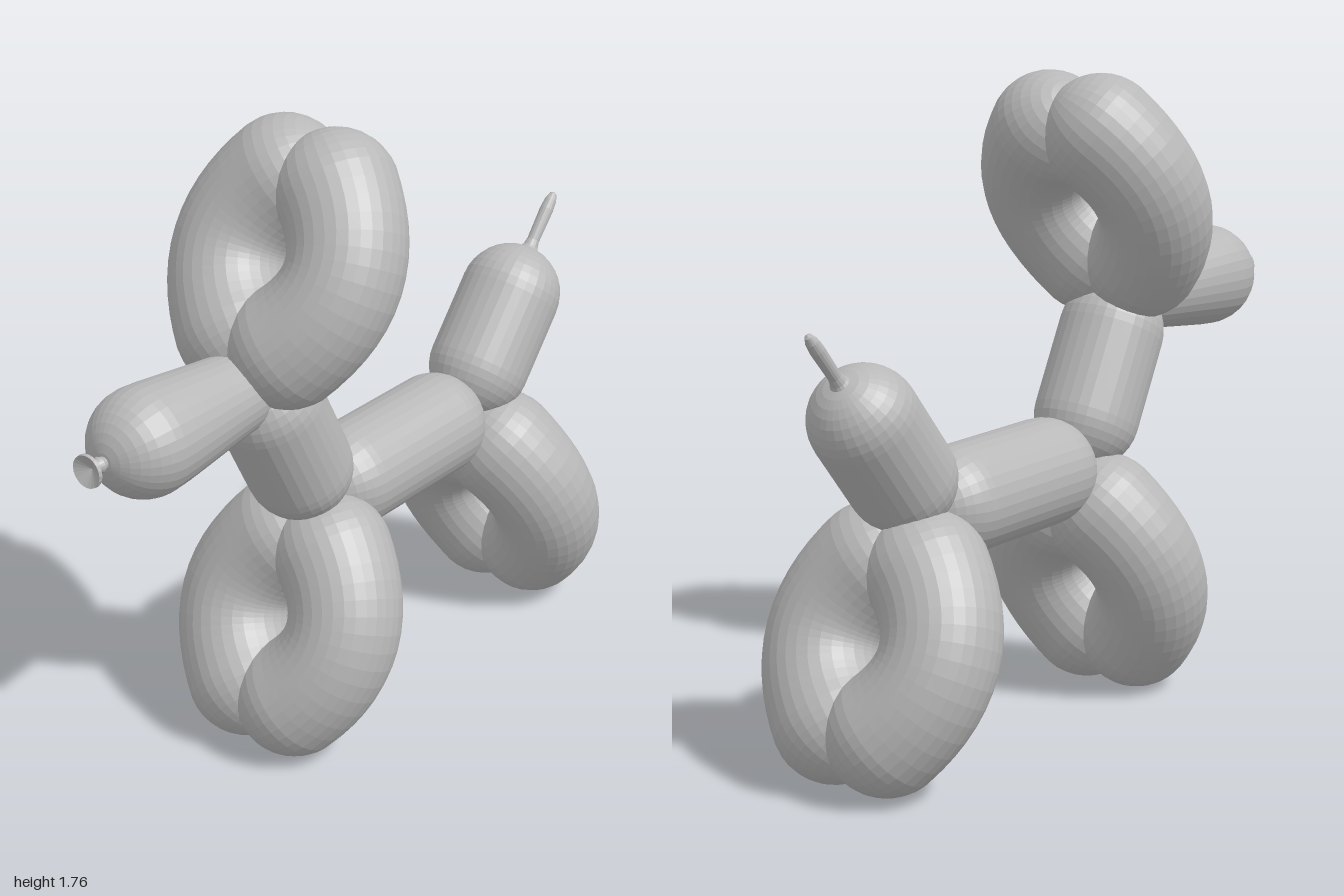
import * as THREE from 'three';

export function createModel() {
  const model = new THREE.Group();
  const latex = new THREE.MeshStandardMaterial({ color: 0xb8b8b8 });
  latex.name = 'grey latex';

  // Faceted copy of a geometry
  const facet = (geo) => {
    const flat = geo.toNonIndexed();
    flat.computeVertexNormals();
    return flat;
  };

  const add = (parent, name, geo) => {
    const mesh = new THREE.Mesh(facet(geo), latex);
    mesh.name = name;
    parent.add(mesh);
    return mesh;
  };

  const v = (y, z) => new THREE.Vector3(0, y, z);

  // Straight balloon segment between two cap centres
  const sausage = (name, a, b, radius) => {
    const mesh = add(model, name, new THREE.CapsuleGeometry(radius, a.distanceTo(b), 9, 32, 8));
    mesh.position.addVectors(a, b).multiplyScalar(0.5);
    mesh.rotation.x = Math.atan2(b.z - a.z, b.y - a.y);
    return mesh;
  };

  // Turned part along an axis, profile given as [radius, distance] pairs
  const turned = (name, origin, angle, profile, sides = 32) => {
    const pts = profile.map(([r, h]) => new THREE.Vector2(r, h));
    const mesh = add(model, name, new THREE.LatheGeometry(pts, sides));
    mesh.position.copy(origin);
    mesh.rotation.x = angle;
    return mesh;
  };

  // Bent balloon segment: a capsule swept along a shallow arc
  const bentSegment = () => {
    const length = 0.48, halfSpan = 0.207;
    const geo = new THREE.CapsuleGeometry(0.165, length, 9, 32, 14);
    const p = geo.attributes.position;
    for (let i = 0; i < p.count; i++) {
      const x = p.getX(i), y = p.getY(i), z = p.getZ(i);
      const t = THREE.MathUtils.clamp(y / (length / 2), -1, 1);
      const bulge = 1 - t * t;
      const k = 1 - 0.06 * bulge;
      const tangent = new THREE.Vector2(-0.2 * t, halfSpan).normalize();
      const over = y - t * length / 2;
      p.setXYZ(i,
        0.085 + 0.1 * bulge + x * k * tangent.y + over * tangent.x,
        halfSpan * t - x * k * tangent.x + over * tangent.y,
        z * k);
    }
    return geo;
  };

  // Pair of bent segments, twisted together at both ends
  const loopPair = (name, bottom, top) => {
    const pair = new THREE.Group();
    pair.name = name + 's';
    for (const side of ['left', 'right']) {
      const mesh = add(pair, side + name, bentSegment());
      if (side === 'right') mesh.rotation.y = Math.PI;
    }
    pair.position.addVectors(bottom, top).multiplyScalar(0.5);
    pair.rotation.x = Math.atan2(top.z - bottom.z, top.y - bottom.y);
    model.add(pair);
  };

  loopPair('Ear', v(1.235, 0.33), v(1.6, 0.13));
  loopPair('FrontLeg', v(0.167, 0.318), v(0.556, 0.148));
  loopPair('BackLeg', v(0.18, -0.813), v(0.556, -0.643));

  // Body, neck and tail
  sausage('body', v(0.687, -0.42), v(0.687, -0.02), 0.148);
  sausage('neck', v(0.803, 0.187), v(1.03, 0.308), 0.147);
  sausage('tail', v(0.792, -0.637), v(0.97, -0.785), 0.145);

  // Tapered snout with round ends
  const snout = [];
  for (let i = 0; i <= 8; i++) {
    const a = (i / 8) * Math.PI / 2;
    snout.push([0.112 * Math.sin(a), 0.47 - 0.11 * Math.cos(a)]);
  }
  snout.push([0.119, 0.54], [0.127, 0.61], [0.135, 0.68], [0.141, 0.735]);
  for (let i = 0; i <= 9; i++) {
    const a = (i / 9) * Math.PI / 2;
    snout.push([0.145 * Math.cos(a), 0.79 + 0.15 * Math.sin(a)]);
  }
  turned('snout', v(1.12, 0), Math.PI / 2, snout);

  // Knotted nozzle with a hollow flared lip
  turned('nozzle', v(1.12, 0), Math.PI / 2, [
    [0.03, 0.92], [0.016, 0.94], [0.022, 0.953], [0.016, 0.967], [0.014, 0.975],
    [0.036, 0.982], [0.045, 0.99], [0.044, 1.0], [0.03, 0.993], [0, 0.978],
  ], 20);

  // Thin uninflated tip of the tail
  turned('tailTip', v(0.97, -0.785), Math.atan2(-0.645, 0.764), [
    [0.034, 0.13], [0.022, 0.15], [0.018, 0.17], [0.019, 0.22], [0.02, 0.27],
    [0.017, 0.3], [0.01, 0.32], [0, 0.325],
  ], 16);

  return model;
}
